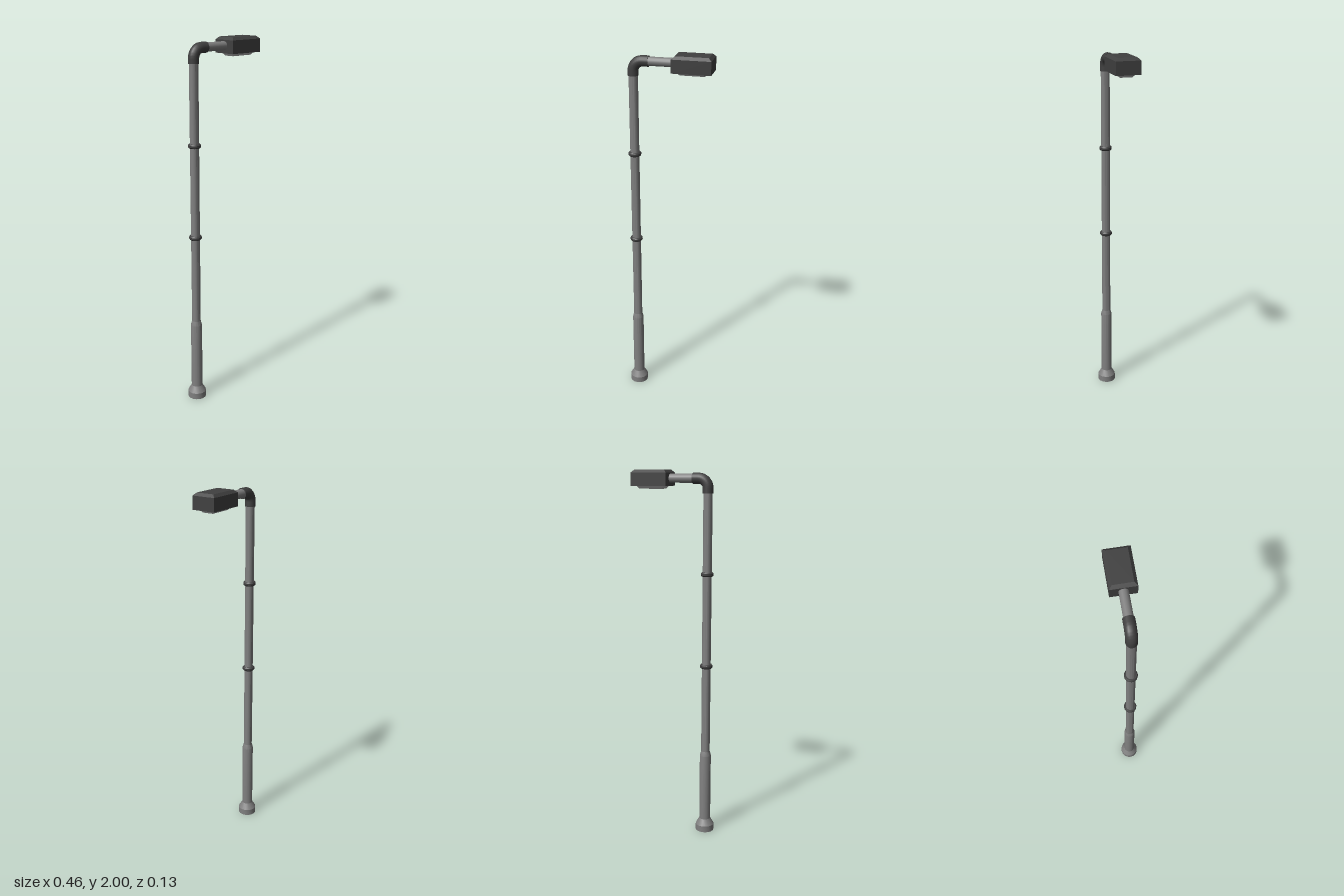
import * as THREE from 'three';
import { toCreasedNormals } from 'three/addons/utils/BufferGeometryUtils.js';

const SIDES = 16;
const POLE_X = -0.18;
const ARM_Y = 1.957;

export function createModel() {
  const model = new THREE.Group();
  model.name = 'streetLamp';
  const steel = new THREE.MeshStandardMaterial({ color: 0x808080 });
  const dark = new THREE.MeshStandardMaterial({ color: 0x404040 });
  const glass = new THREE.MeshStandardMaterial({ color: 0xb0b0b0 });

  function add(name, geometry, material, x = 0, y = 0, z = 0, parent = model) {
    const mesh = new THREE.Mesh(geometry, material);
    mesh.name = name;
    mesh.position.set(x, y, z);
    parent.add(mesh);
    return mesh;
  }

  // Turned part from [radius, height] pairs, bottom to top
  const turned = (profile) => toCreasedNormals(
    new THREE.LatheGeometry(profile.map(([r, y]) => new THREE.Vector2(r, y)), SIDES), 0.45);

  // Box whose top or bottom face is inset by a fixed margin
  function taperedBox(w, h, d, topInset, bottomInset) {
    const geometry = new THREE.BoxGeometry(w, h, d);
    const p = geometry.attributes.position;
    for (let i = 0; i < p.count; i++) {
      const inset = p.getY(i) > 0 ? topInset : bottomInset;
      p.setX(i, p.getX(i) - Math.sign(p.getX(i)) * inset);
      p.setZ(i, p.getZ(i) - Math.sign(p.getZ(i)) * inset);
    }
    geometry.computeVertexNormals();
    return geometry;
  }

  // Flared foot, thick lower shaft and slim upper shaft
  add('base', turned([[0, 0], [0.051, 0], [0.051, 0.035], [0.031, 0.07]]), steel, POLE_X);
  add('lowerPole', turned([[0.031, 0.07], [0.031, 0.45], [0.024, 0.475]]), steel, POLE_X);
  add('upperPole', turned([[0.024, 0.475], [0.024, 1.9]]), steel, POLE_X);

  // Clamping rings
  for (const y of [0.965, 1.465]) {
    add('poleRing', turned([[0.023, -0.011], [0.029, -0.011], [0.034, -0.005],
      [0.034, 0.005], [0.029, 0.011], [0.023, 0.011]]), dark, POLE_X, y);
  }

  // Elbow: straight sleeve, quarter bend, straight sleeve, closed at both ends
  const elbow = new THREE.Group();
  elbow.name = 'elbow';
  model.add(elbow);
  const bend = 0.05, r = 0.028, bottom = 1.882, end = -0.098;
  const points = [new THREE.Vector3(POLE_X, bottom, 0)];
  for (let i = 0; i <= 8; i++) {
    const a = (i / 8) * Math.PI / 2;
    points.push(new THREE.Vector3(
      POLE_X + bend * (1 - Math.cos(a)), ARM_Y - bend * (1 - Math.sin(a)), 0));
  }
  points.push(new THREE.Vector3(end, ARM_Y, 0));
  const path = new THREE.CurvePath();
  for (let i = 1; i < points.length; i++) path.add(new THREE.LineCurve3(points[i - 1], points[i]));
  add('elbowPipe', new THREE.TubeGeometry(path, 28, r, SIDES), dark, 0, 0, 0, elbow);
  add('elbowLowerCap', new THREE.CircleGeometry(r, SIDES), dark, POLE_X, bottom, 0, elbow)
    .rotation.x = Math.PI / 2;
  add('elbowOuterCap', new THREE.CircleGeometry(r, SIDES), dark, end, ARM_Y, 0, elbow)
    .rotation.y = Math.PI / 2;

  // Horizontal arm
  add('arm', new THREE.CylinderGeometry(0.023, 0.023, 0.15, SIDES), steel, -0.035, ARM_Y)
    .rotation.z = Math.PI / 2;

  // Lamp head with bevelled lid and tapered lens underneath
  const head = new THREE.Group();
  head.name = 'lampHead';
  head.position.x = 0.13;
  model.add(head);
  add('housing', new THREE.BoxGeometry(0.2, 0.068, 0.128), dark, 0, 1.952, 0, head);
  add('lid', taperedBox(0.2, 0.014, 0.128, 0.015, 0), dark, 0, 1.993, 0, head);
  add('lens', taperedBox(0.152, 0.016, 0.084, 0, 0.012), glass, 0, 1.911, 0, head);

  return model;
}
